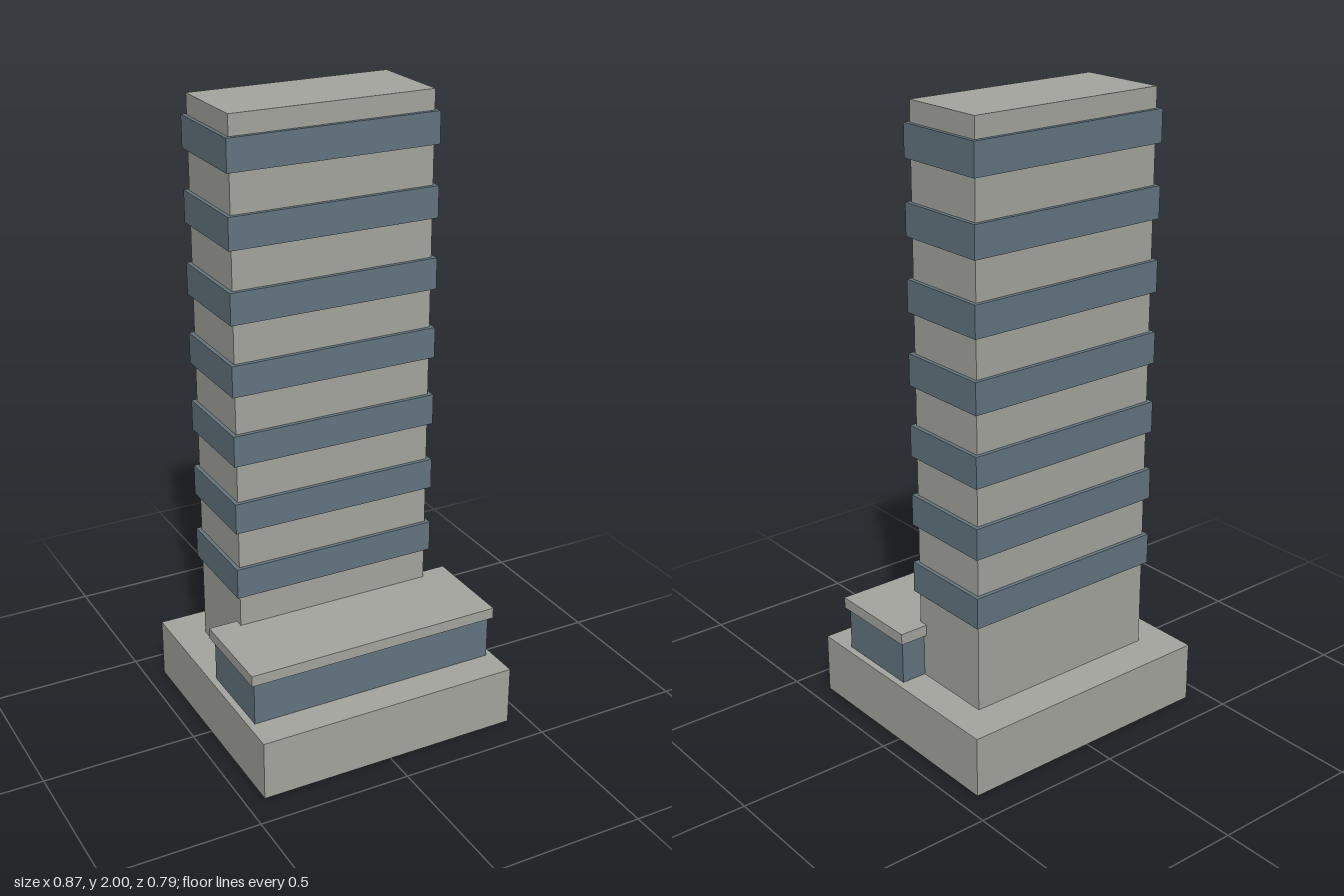
import * as THREE from 'three';

export function createModel() {
  const model = new THREE.Group();
  model.name = 'officeTower';

  const concrete = new THREE.MeshStandardMaterial({ color: 0xa6a6a0 });
  concrete.name = 'concrete grey';
  const glass = new THREE.MeshStandardMaterial({ color: 0x647680 });
  glass.name = 'glass blue grey';

  // Box given by half width, height range and depth range
  function block(name, material, halfX, y0, y1, z0, z1, parent = model) {
    const mesh = new THREE.Mesh(new THREE.BoxGeometry(halfX * 2, y1 - y0, z1 - z0), material);
    mesh.position.set(0, (y0 + y1) / 2, (z0 + z1) / 2);
    mesh.name = name;
    parent.add(mesh);
    return mesh;
  }

  // Base and front lobby with its roof slab
  block('base', concrete, 0.437, 0, 0.196, -0.395, 0.395);
  block('lobbyGlass', glass, 0.415, 0.196, 0.339, 0.002, 0.287);
  block('lobbyRoof', concrete, 0.427, 0.339, 0.375, -0.012, 0.299);

  // Tower shaft
  block('tower', concrete, 0.332, 0.196, 2, -0.271, 0.018);

  // Projecting window bands
  const bands = new THREE.Group();
  bands.name = 'windowBands';
  model.add(bands);
  for (let i = 0; i < 7; i++) {
    const y = 0.482 + i * 0.2257;
    block(`windowBand${i + 1}`, glass, 0.345, y, y + 0.1, -0.284, 0.031, bands);
  }

  return model;
}
